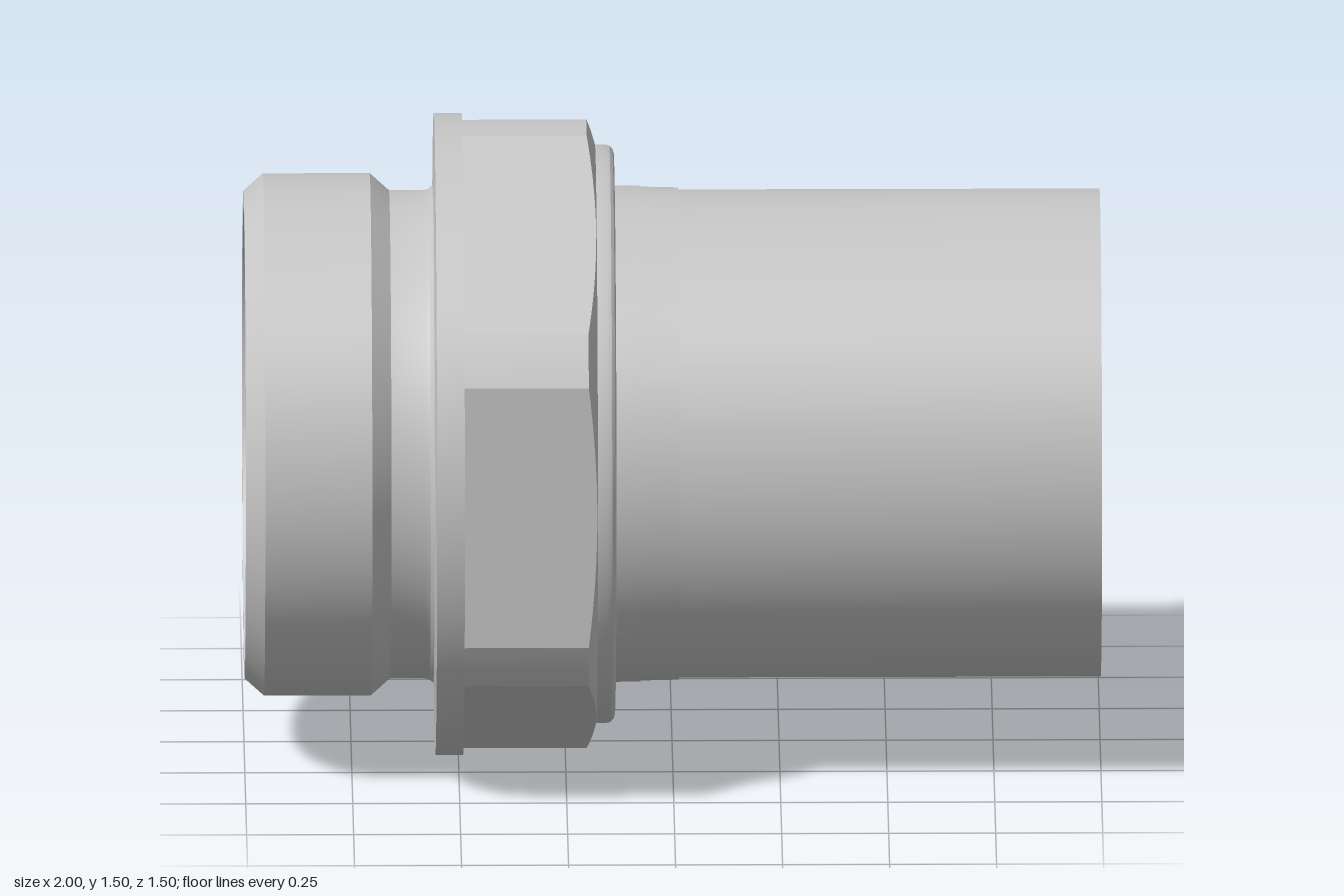
import * as THREE from 'three';
import { toCreasedNormals } from 'three/addons/utils/BufferGeometryUtils.js';

const SEGMENTS = 144;

// Revolve [axial position, radius] pairs about the x axis.
function revolve(profile) {
  const points = profile.map(([x, r]) => new THREE.Vector2(r, x));
  return new THREE.LatheGeometry(points, SEGMENTS);
}

// Hexagon with its corners cut off by a cylinder: radius at a given angle.
const CORNER_RADIUS = 0.75;
const FLAT_RADIUS = CORNER_RADIUS * Math.cos(THREE.MathUtils.degToRad(25));
function hexRadius(angle) {
  const step = Math.PI / 3;
  const local = angle - Math.round(angle / step) * step;
  return Math.min(CORNER_RADIUS, FLAT_RADIUS / Math.cos(local));
}

// Hex section whose front edge is cut by a shallow chamfer cone.
function hexGeometry() {
  const geometry = revolve([[-0.49, 1], [-0.2, 1], [-0.178, 0.674], [-0.178, 0.57]]);
  const p = geometry.attributes.position;
  for (let i = 0; i < p.count; i++) {
    const ring = i % 4;
    if (ring > 1) continue;
    const angle = Math.atan2(p.getX(i), p.getZ(i));
    const r = hexRadius(angle);
    const y = ring === 0 ? -0.49 : -0.2 + 0.02 * (CORNER_RADIUS - r) / (CORNER_RADIUS - FLAT_RADIUS);
    p.setXYZ(i, r * Math.sin(angle), y, r * Math.cos(angle));
  }
  return geometry;
}

export function createModel() {
  const group = new THREE.Group();
  group.name = 'pipeFitting';
  const metal = new THREE.MeshStandardMaterial({ color: 0xc6c6c6 });
  metal.name = 'plain metal';

  function add(name, geometry) {
    const mesh = new THREE.Mesh(toCreasedNormals(geometry, 0.36), metal);
    mesh.name = name;
    mesh.rotation.z = -Math.PI / 2;
    mesh.position.y = 0.75;
    group.add(mesh);
  }

  // Chamfered connecting end, neck and round flange
  add('connectorEnd', revolve([
    [-1, 0.53], [-1, 0.57], [-0.955, 0.61], [-0.705, 0.61], [-0.66, 0.57],
    [-0.58, 0.57], [-0.568, 0.573], [-0.559, 0.581], [-0.555, 0.594],
    [-0.555, 0.75], [-0.49, 0.75], [-0.49, 0.6],
  ]));

  add('hexSection', hexGeometry());

  // Collar with a rounded front edge
  add('collar', revolve([
    [-0.19, 0.676], [-0.155, 0.676], [-0.145, 0.673], [-0.138, 0.666],
    [-0.135, 0.656], [-0.135, 0.56],
  ]));

  // Long sleeve with slight steps, an open end and a tapered groove
  add('sleeve', revolve([
    [-0.135, 0.58], [-0.075, 0.579], [-0.075, 0.577], [0.015, 0.575], [0.015, 0.57],
    [1, 0.57], [1, 0.54], [0.86, 0.51], [0.8, 0.51], [0.8, 0.463],
  ]));

  // Inner tube with a rounded lip, bore and conical seat
  add('innerTube', revolve([
    [0.8, 0.463], [0.955, 0.463], [0.967, 0.46], [0.976, 0.453], [0.98, 0.442],
    [0.98, 0.398], [0.972, 0.39], [-0.34, 0.39], [-1, 0.53],
  ]));

  return group;
}
